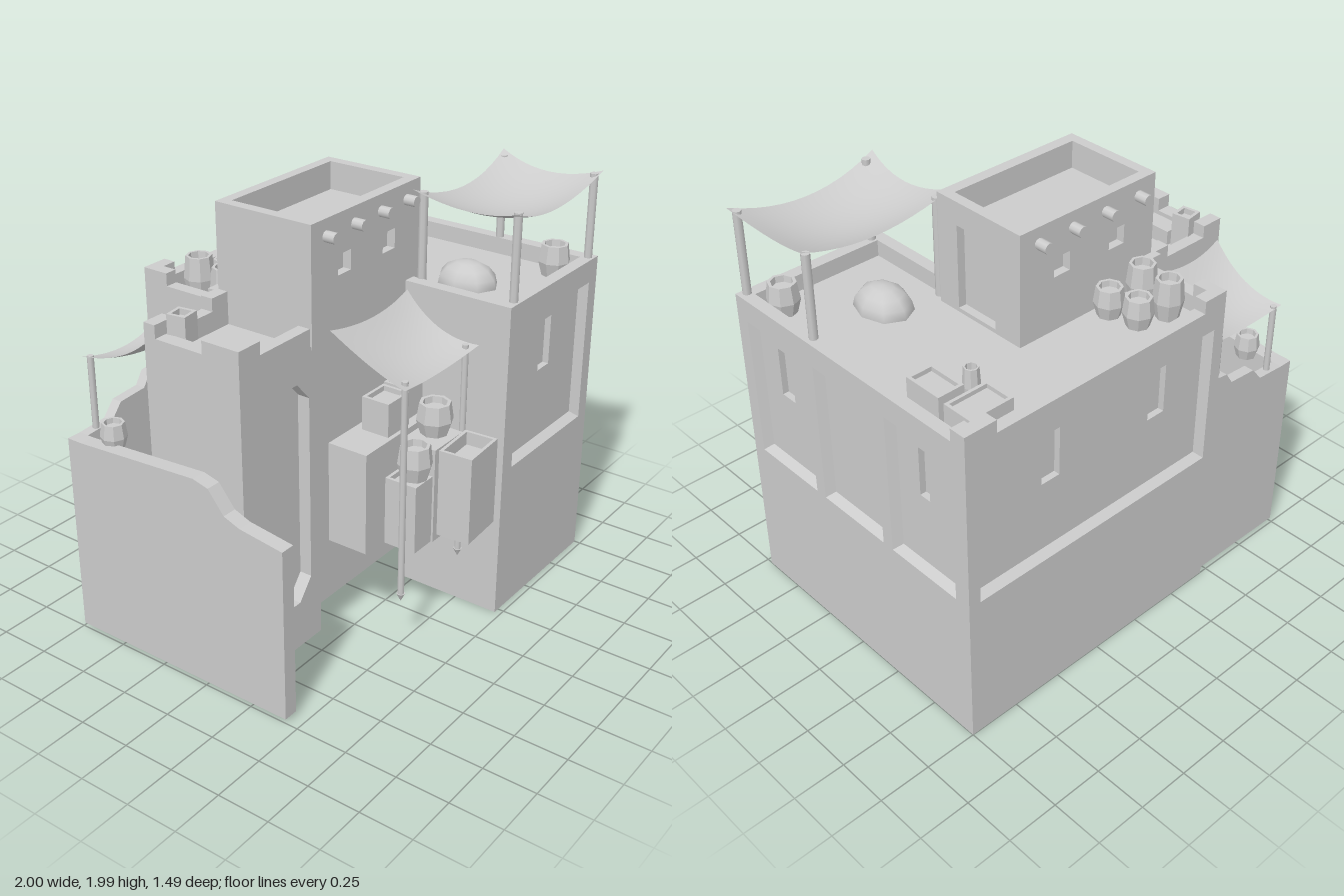
import * as THREE from 'three';

const mat = new THREE.MeshStandardMaterial({ color: 0xcccccc, side: THREE.DoubleSide });
const flat = new THREE.MeshStandardMaterial({ color: 0xcccccc, side: THREE.DoubleSide, flatShading: true });

const rect = (x0, x1, y0, y1) => [[x0, y0], [x1, y0], [x1, y1], [x0, y1]];
const toPath = (pts) => pts.map((p) => new THREE.Vector2(p[0], p[1]));

function add(parent, name, geo, x = 0, y = 0, z = 0, material = flat) {
  const m = new THREE.Mesh(geo, material);
  m.name = name;
  m.position.set(x, y, z);
  parent.add(m);
  return m;
}

// Box given by its limits
function block(parent, name, x0, x1, y0, y1, z0, z1) {
  return add(parent, name, new THREE.BoxGeometry(x1 - x0, y1 - y0, z1 - z0),
    (x0 + x1) / 2, (y0 + y1) / 2, (z0 + z1) / 2);
}

// Flat face with recesses; a recess { pts, depth, inner } may hold further ones
function face(parent, name, pts, recesses = [], z = 0) {
  const shape = new THREE.Shape(toPath(pts));
  recesses.forEach((r) => shape.holes.push(new THREE.Path(toPath(r.pts))));
  add(parent, name, new THREE.ShapeGeometry(shape), 0, 0, z);
  for (const r of recesses) {
    const slope = r.slope || 0;
    const xs = r.pts.map((p) => p[0]), ys = r.pts.map((p) => p[1]);
    const cx = (Math.min(...xs) + Math.max(...xs)) / 2, cy = (Math.min(...ys) + Math.max(...ys)) / 2;
    const floor = r.pts.map(([x, y]) => [x - Math.sign(x - cx) * slope, y - Math.sign(y - cy) * slope]);
    const pos = [];
    r.pts.forEach((a, i) => {
      const j = (i + 1) % r.pts.length, b = r.pts[j], c = floor[j], d = floor[i];
      pos.push(...a, 0, ...b, 0, ...c, -r.depth, ...a, 0, ...c, -r.depth, ...d, -r.depth);
    });
    const geo = new THREE.BufferGeometry();
    geo.setAttribute('position', new THREE.Float32BufferAttribute(pos, 3));
    geo.computeVertexNormals();
    add(parent, name + 'Reveal', geo, 0, 0, z);
    face(parent, name + 'Recess', floor, r.inner, z - r.depth);
  }
}

// Group turned so that its local +z faces outwards
function side(parent, name, angle, x, z) {
  const s = new THREE.Group();
  s.name = name;
  s.rotation.y = angle;
  s.position.set(x, 0, z);
  parent.add(s);
  return s;
}

const slit = (x, w) => ({ pts: rect(x - w / 2, x + w / 2, 1.11, 1.35), depth: 0.03 });
const panel = (x0, x1, slits = []) =>
  ({ pts: rect(x0, x1, 0.74, 1.43), depth: 0.04, slope: 0.025, inner: slits });

// Eight-sided hollow jar
function jar(parent, x, y, z, r, h) {
  const p = [[0, 0], [0.75, 0], [1, 0.45], [0.85, 1], [0.66, 1], [0.62, 0.8], [0, 0.8]];
  add(parent, 'jar', new THREE.LatheGeometry(p.map(([a, b]) => new THREE.Vector2(a * r, b * h)), 8), x, y, z);
}

// Open-topped crate
function crate(parent, x0, x1, y0, y1, z0, z1, turn = 0) {
  const w = x1 - x0, d = z1 - z0, h = y1 - y0;
  const c = side(parent, 'crate', turn, (x0 + x1) / 2, (z0 + z1) / 2);
  block(c, 'crateBody', -w / 2, w / 2, y0, y1 - h * 0.15, -d / 2, d / 2);
  for (const s of [-1, 1]) {
    add(c, 'crateRim', new THREE.BoxGeometry(0.015, h * 0.15, d), s * (w / 2 - 0.0075), y1 - h * 0.075, 0);
    add(c, 'crateRim', new THREE.BoxGeometry(w, h * 0.15, 0.015), 0, y1 - h * 0.075, s * (d / 2 - 0.0075));
  }
}

function pole(parent, x, z, y0, y1, r = 0.02) {
  add(parent, 'pole', new THREE.CylinderGeometry(r, r, y1 - y0, 8), x, (y0 + y1) / 2, z, mat);
}

// Sagging cloth with pinched edges
function awning(parent, name, x0, x1, z0, z1, yBack, yFront, sagU, sagV, pinch) {
  const geo = new THREE.PlaneGeometry(2, 2, 12, 12).rotateX(-Math.PI / 2);
  const p = geo.attributes.position;
  for (let i = 0; i < p.count; i++) {
    const u = p.getX(i), v = p.getZ(i);
    p.setXYZ(i,
      u * (x1 - x0) / 2 * (1 - pinch * (1 - v * v)),
      yBack + (yFront - yBack) * (v + 1) / 2 - sagU * (1 - u * u) - sagV * (1 - v * v),
      v * (z1 - z0) / 2 * (1 - pinch * (1 - u * u)));
  }
  geo.computeVertexNormals();
  add(parent, name, geo, (x0 + x1) / 2, 0, (z0 + z1) / 2, mat);
}

export function createModel() {
  const g = new THREE.Group();
  g.name = 'desertHouse';
  const roofY = 1.46, top = 1.54, H = Math.PI / 2;

  // Main L-shaped house walls
  const wing = side(g, 'wingFront', 0, 0, 0.72);
  face(wing, 'wall', rect(0.22, 1, 0, roofY), [panel(0.3, 0.93, [slit(0.61, 0.1)])]);
  const east = side(g, 'rightWall', H, 1, 0);
  face(east, 'wall', rect(-0.72, 0.75, 0, roofY),
    [panel(-0.65, -0.25, [slit(-0.455, 0.09)]), panel(-0.19, 0.21), panel(0.27, 0.67, [slit(0.455, 0.06)])]);
  const back = side(g, 'backWall', Math.PI, 0, -0.75);
  face(back, 'wall', rect(-1, 0.46, 0, roofY), [panel(-0.94, 0.4, [slit(-0.52, 0.1), slit(0.1, 0.1)])]);
  face(side(g, 'wingInnerWall', -H, 0.22, 0), 'wall', rect(0.18, 0.72, 0, roofY));
  face(side(g, 'leftWall', -H, -0.46, 0), 'wall', rect(-0.75, -0.33, 0, roofY));

  // Roof and parapet
  block(g, 'roof', -0.45, 0.99, roofY - 0.02, roofY, -0.74, 0.18);
  block(g, 'wingRoof', 0.23, 0.99, roofY - 0.02, roofY, 0.18, 0.71);
  const rims = [[-0.46, 1, -0.75, -0.69], [0.94, 1, -0.69, 0.66], [0.22, 1, 0.66, 0.72],
    [0.22, 0.28, 0.18, 0.66], [-0.46, -0.4, -0.69, -0.32]];
  for (const [x0, x1, z0, z1] of rims) block(g, 'parapet', x0, x1, roofY, top, z0, z1);

  // Tower with sunken top
  const sq = (x0) => ({ pts: rect(x0, x0 + 0.09, 1.72, 1.81), depth: 0.04 });
  face(side(g, 'towerFront', 0, 0, 0.18), 'wall',
    [[-0.46, 0.18], [0.22, 0.18], [0.22, roofY], [0.32, roofY], [0.32, 1.99], [-0.46, 1.99]], [sq(-0.28), sq(0.04)]);
  face(side(g, 'towerBack', Math.PI, 0, -0.32), 'wall', rect(-0.32, 0.46, roofY, 1.99), [sq(-0.13), sq(0.19)]);
  face(side(g, 'towerRight', H, 0.32, 0), 'wall', rect(-0.18, 0.32, roofY, 1.99),
    [{ pts: rect(-0.06, 0.17, 1.48, 1.88), depth: 0.04 }]);
  face(side(g, 'towerLeft', -H, -0.46, 0), 'wall', rect(-0.32, 0.18, roofY, 1.99));
  const lid = side(g, 'towerTop', 0, 0, 0);
  lid.rotation.x = -H;
  lid.position.y = 1.99;
  face(lid, 'rim', rect(-0.46, 0.32, -0.18, 0.32),
    [{ pts: rect(-0.41, 0.27, -0.125, 0.27), depth: 0.13 }]);
  for (const x of [-0.36, -0.165, 0.025, 0.215])
    for (const z of [0.2, -0.345])
      add(g, 'beamEnd', new THREE.CylinderGeometry(0.025, 0.025, 0.07, 10).rotateX(H), x, 1.915, z, mat);

  // Left annex with tall niche
  const niche = [[-0.81, 0.35], [-0.73, 0.25], [-0.55, 0.25], [-0.47, 0.35],
    [-0.47, 1.23], [-0.55, 1.32], [-0.73, 1.32], [-0.81, 1.23]];
  face(side(g, 'annexFront', 0, 0, 0.17), 'wall', rect(-0.91, -0.4, 0.02, top), [{ pts: niche, depth: 0.06 }]);
  face(side(g, 'annexLeft', -H, -0.91, 0), 'wall', rect(-0.33, 0.17, 0.02, top));
  face(side(g, 'annexBack', Math.PI, 0, -0.33), 'wall', rect(0.46, 0.91, 0.02, top));
  block(g, 'annexRoof', -0.9, -0.46, 1.43, 1.45, -0.32, 0.16);
  block(g, 'annexParapet', -0.91, -0.46, 1.45, top, 0.11, 0.169);
  block(g, 'annexParapet', -0.91, -0.46, 1.45, top, -0.329, -0.27);
  block(g, 'annexParapet', -0.909, -0.84, 1.45, top, -0.27, 0.11);

  // Corner stones on the parapets
  const stones = [[-0.91, -0.78, 0.1, 0.17], [-0.91, -0.84, -0.02, 0.1], [-0.91, -0.8, -0.33, -0.27],
    [-0.56, -0.46, -0.33, -0.27], [-0.48, -0.4, -0.36, -0.28], [-0.46, -0.33, -0.75, -0.69],
    [-0.46, -0.4, -0.69, -0.62], [0.84, 0.93, -0.75, -0.69], [0.93, 1, -0.75, -0.67]];
  for (const [x0, x1, z0, z1] of stones) block(g, 'cornerStone', x0, x1, top, 1.6, z0, z1);
  crate(g, -0.84, -0.75, 1.45, 1.63, -0.27, -0.18, 0.15);
  block(g, 'bench', -0.84, -0.75, 1.45, 1.52, -0.16, 0.1);

  // Low yard walls
  const sideWall = new THREE.Shape(toPath([[-0.74, 0.02], [0.44, 0.02], [0.44, 0.84], [0.22, 0.87],
    [0.14, 0.9], [0.06, 1.0], [-0.02, 1.02], [-0.66, 0.98], [-0.74, 0.98]]));
  add(g, 'yardSideWall', new THREE.ExtrudeGeometry(sideWall, { depth: 0.07, bevelEnabled: false }), -0.93)
    .rotation.y = -H;
  const backWall = new THREE.Shape(toPath([[-0.93, 0.02], [-0.46, 0.02], [-0.46, 1.14], [-0.53, 1.13],
    [-0.57, 1.07], [-0.72, 1.06], [-0.78, 0.99], [-0.93, 0.98]]));
  add(g, 'yardBackWall', new THREE.ExtrudeGeometry(backWall, { depth: 0.05, bevelEnabled: false }), 0, 0, -0.74);
  jar(g, -0.91, 0.96, -0.55, 0.06, 0.12);
  awning(g, 'yardAwning', -0.89, -0.46, -0.73, -0.34, 1.33, 1.5, 0.03, 0.04, 0.1);
  pole(g, -0.86, -0.71, 0.85, 1.33, 0.015);
  pole(g, -0.49, -0.71, 0.85, 1.34, 0.015);

  // Roof awning
  awning(g, 'roofAwning', 0.23, 0.99, 0.2, 0.72, 1.96, 1.95, 0.08, 0.05, 0.08);
  for (const x of [0.29, 0.96]) for (const z of [0.22, 0.69]) pole(g, x, z, roofY, 1.94);

  // Goods on the roof
  for (const [x, z, h] of [[-0.3, -0.57, 0.19], [-0.16, -0.53, 0.14], [-0.32, -0.4, 0.18], [-0.13, -0.39, 0.14]])
    jar(g, x, roofY, z, 0.07, h);
  jar(g, 0.7, roofY, -0.45, 0.038, 0.16);
  jar(g, 0.86, roofY, 0.57, 0.075, 0.15);
  crate(g, 0.69, 0.91, roofY, 1.59, -0.68, -0.53);
  crate(g, 0.78, 0.91, roofY, 1.6, -0.5, -0.31);
  const sack = add(g, 'sack', new THREE.SphereGeometry(1, 8, 4, 0, Math.PI * 2, 0, H), 0.53, roofY, 0.31, mat);
  sack.scale.set(0.12, 0.11, 0.15);

  // Market stall
  awning(g, 'stallAwning', -0.35, 0.22, 0.19, 0.57, 1.5, 1.33, 0.03, 0.04, 0.1);
  for (const x of [-0.29, 0.175]) {
    pole(g, x, 0.53, 0.3, 1.34, 0.015);
    add(g, 'poleTip', new THREE.ConeGeometry(0.02, 0.04, 8).rotateX(Math.PI), x, 0.285, 0.53, mat);
  }
  block(g, 'stallCounter', -0.35, 0.2, 0.48, 0.97, 0.18, 0.38);
  crate(g, -0.16, 0, 0.97, 1.13, 0.22, 0.36);
  crate(g, 0.02, 0.15, 0.97, 1.13, 0.21, 0.33);
  crate(g, -0.22, -0.09, 0.48, 0.645, 0.39, 0.55);
  crate(g, -0.22, -0.09, 0.645, 0.81, 0.39, 0.55);
  block(g, 'stallChest', -0.09, 0.13, 0.48, 0.94, 0.38, 0.56);
  jar(g, -0.14, 0.81, 0.49, 0.08, 0.16);
  jar(g, 0.055, 0.94, 0.46, 0.085, 0.15);
  crate(g, -0.09, 0.145, 0.53, 0.95, 0.575, 0.735, 0.06);
  return g;
}
